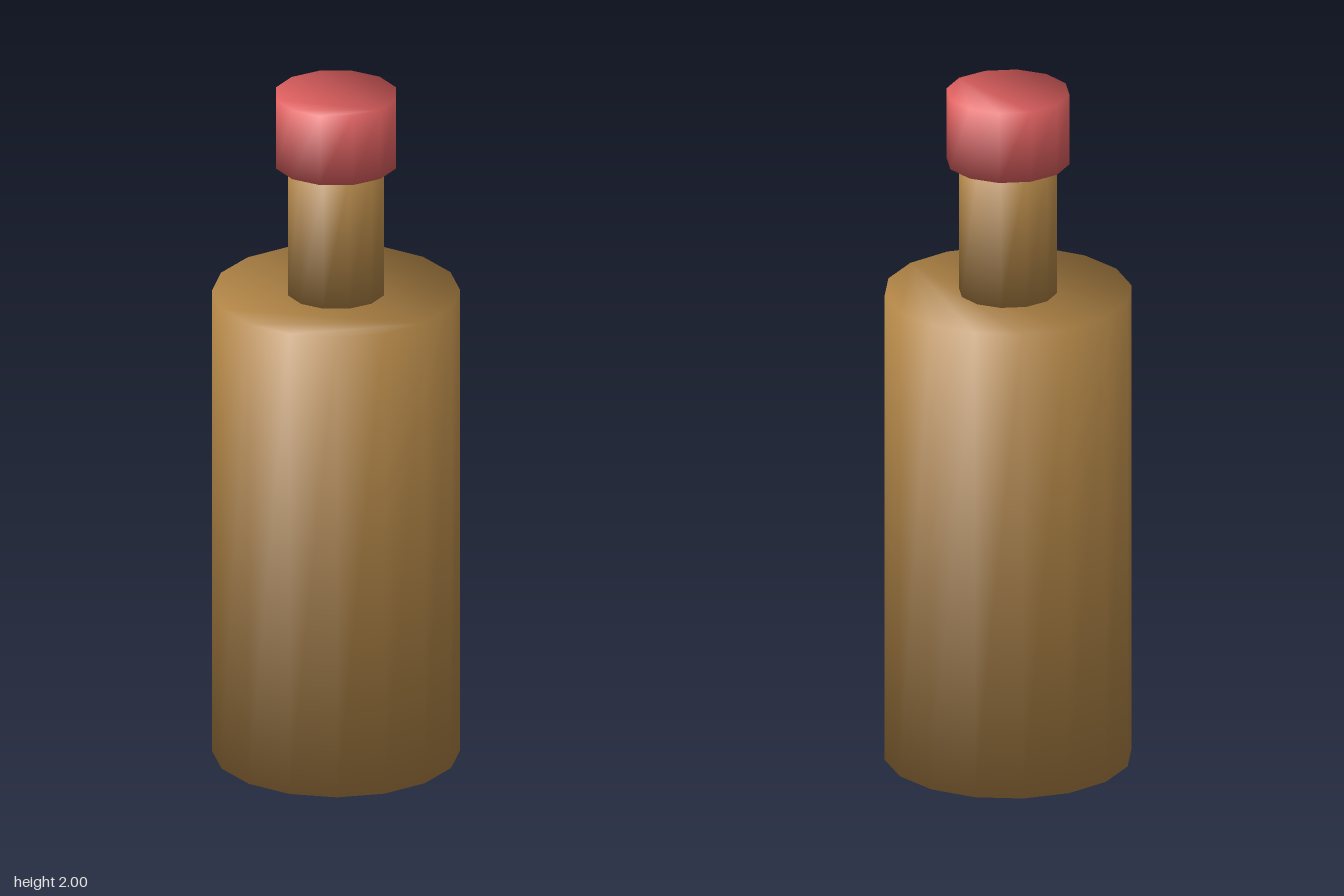
import * as THREE from 'three';

// Closed prism whose rim vertices are shared by wall and ends, so it shades softly
function softPrism(radius, y0, y1, sides) {
  const position = [], normal = [], index = [];
  for (const [y, ny] of [[y0, -0.65], [y1, 0.65]]) {
    for (let i = 0; i < sides; i++) {
      const a = (i / sides) * Math.PI * 2;
      const x = Math.sin(a), z = Math.cos(a);
      position.push(x * radius, y, z * radius);
      normal.push(x * 0.76, ny, z * 0.76);
    }
  }
  // wall
  for (let i = 0; i < sides; i++) {
    const j = (i + 1) % sides;
    index.push(i, j, sides + j, i, sides + j, sides + i);
  }
  // bottom and top
  for (let i = 1; i < sides - 1; i++) {
    index.push(0, i + 1, i);
    index.push(sides, sides + i, sides + i + 1);
  }
  const geometry = new THREE.BufferGeometry();
  geometry.setAttribute('position', new THREE.Float32BufferAttribute(position, 3));
  geometry.setAttribute('normal', new THREE.Float32BufferAttribute(normal, 3));
  geometry.setIndex(index);
  return geometry;
}

export function createModel() {
  const group = new THREE.Group();
  group.name = 'bottle';

  const amber = new THREE.MeshStandardMaterial({ color: 0xb08446 });
  amber.name = 'amber';
  const red = new THREE.MeshStandardMaterial({ color: 0xe06060 });
  red.name = 'red';

  const add = (name, material, ...size) => {
    const mesh = new THREE.Mesh(softPrism(...size), material);
    mesh.name = name;
    group.add(mesh);
  };

  add('body', amber, 0.35, 0, 1.4, 16);
  add('neck', amber, 0.14, 1.4, 1.8, 12);
  add('cap', red, 0.175, 1.79, 2, 12);

  return group;
}
